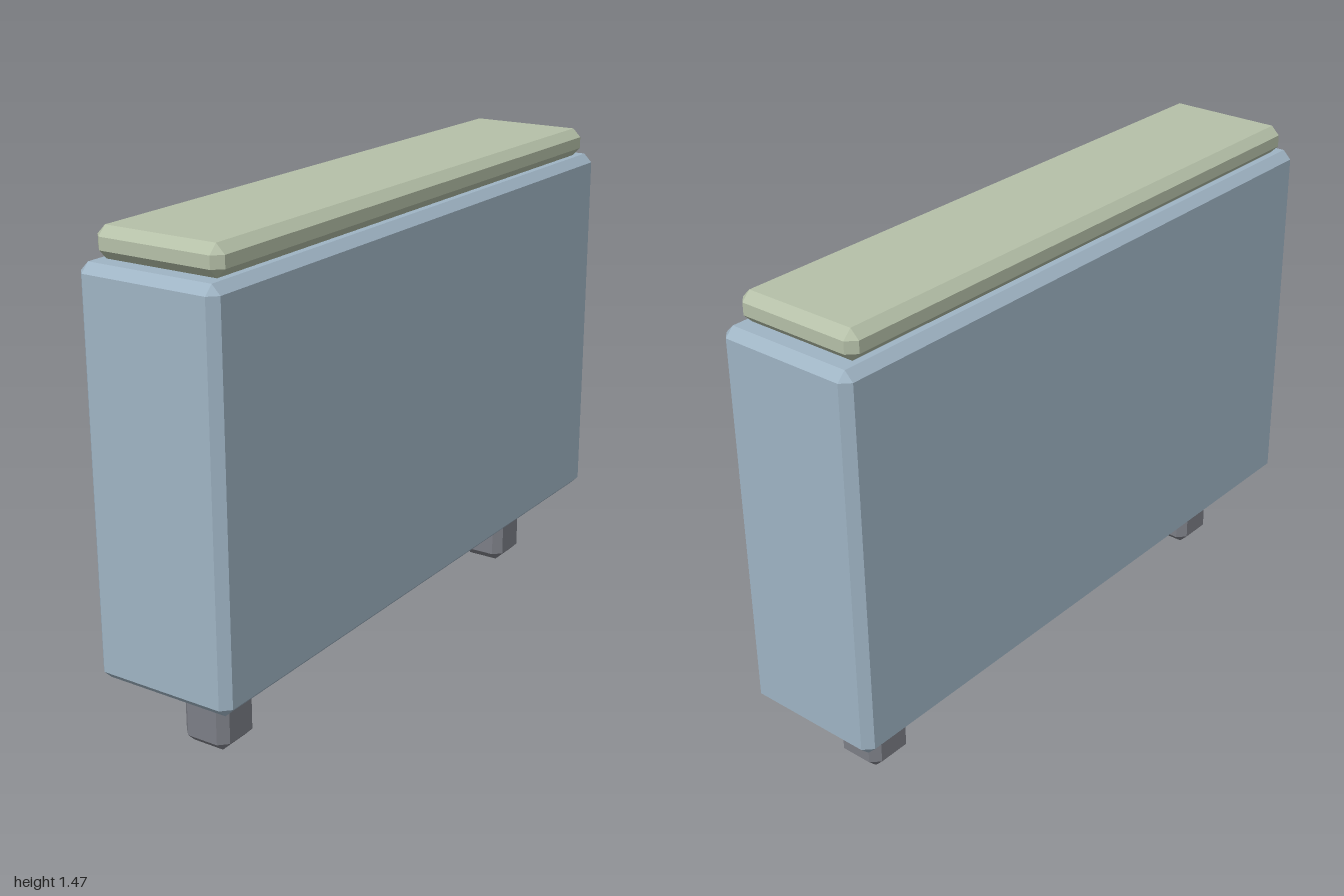
import * as THREE from 'three';
import { ConvexGeometry } from 'three/addons/geometries/ConvexGeometry.js';

const CHAMFER = 0.026;

// Box with every edge and corner cut flat: each corner becomes three points
function chamferedBox(width, height, depth, c = CHAMFER) {
  const [x, y, z] = [width / 2, height / 2, depth / 2];
  const points = [];
  for (const sx of [-1, 1]) for (const sy of [-1, 1]) for (const sz of [-1, 1]) {
    points.push(
      new THREE.Vector3(sx * x, sy * (y - c), sz * (z - c)),
      new THREE.Vector3(sx * (x - c), sy * y, sz * (z - c)),
      new THREE.Vector3(sx * (x - c), sy * (y - c), sz * z)
    );
  }
  return new ConvexGeometry(points);
}

export function createModel() {
  const model = new THREE.Group();
  model.name = 'cabinet';

  const material = () => new THREE.MeshStandardMaterial({ color: 0xcccccc, flatShading: true });
  const bodyMaterial = material();
  bodyMaterial.color.set(0x9fb4c4);
  const topMaterial = material();
  topMaterial.color.set(0xb5c0a8);
  const footMaterial = material();
  footMaterial.color.set(0x7c7e86);

  // Adds a chamfered block standing between two heights
  const addBlock = (name, width, depth, bottom, top, z, mat) => {
    const mesh = new THREE.Mesh(chamferedBox(width, top - bottom, depth), mat);
    mesh.name = name;
    mesh.position.set(0, (bottom + top) / 2, z);
    model.add(mesh);
  };

  // Tall narrow body and the slab on top of it
  addBlock('body', 0.44, 2, 0.226, 1.378, 0, bodyMaterial);
  addBlock('topSlab', 0.4, 1.907, 1.378, 1.465, 0, topMaterial);

  // One foot near each end
  addBlock('frontFoot', 0.152, 0.152, 0, 0.226, 0.76, footMaterial);
  addBlock('backFoot', 0.152, 0.152, 0, 0.226, -0.76, footMaterial);

  return model;
}
